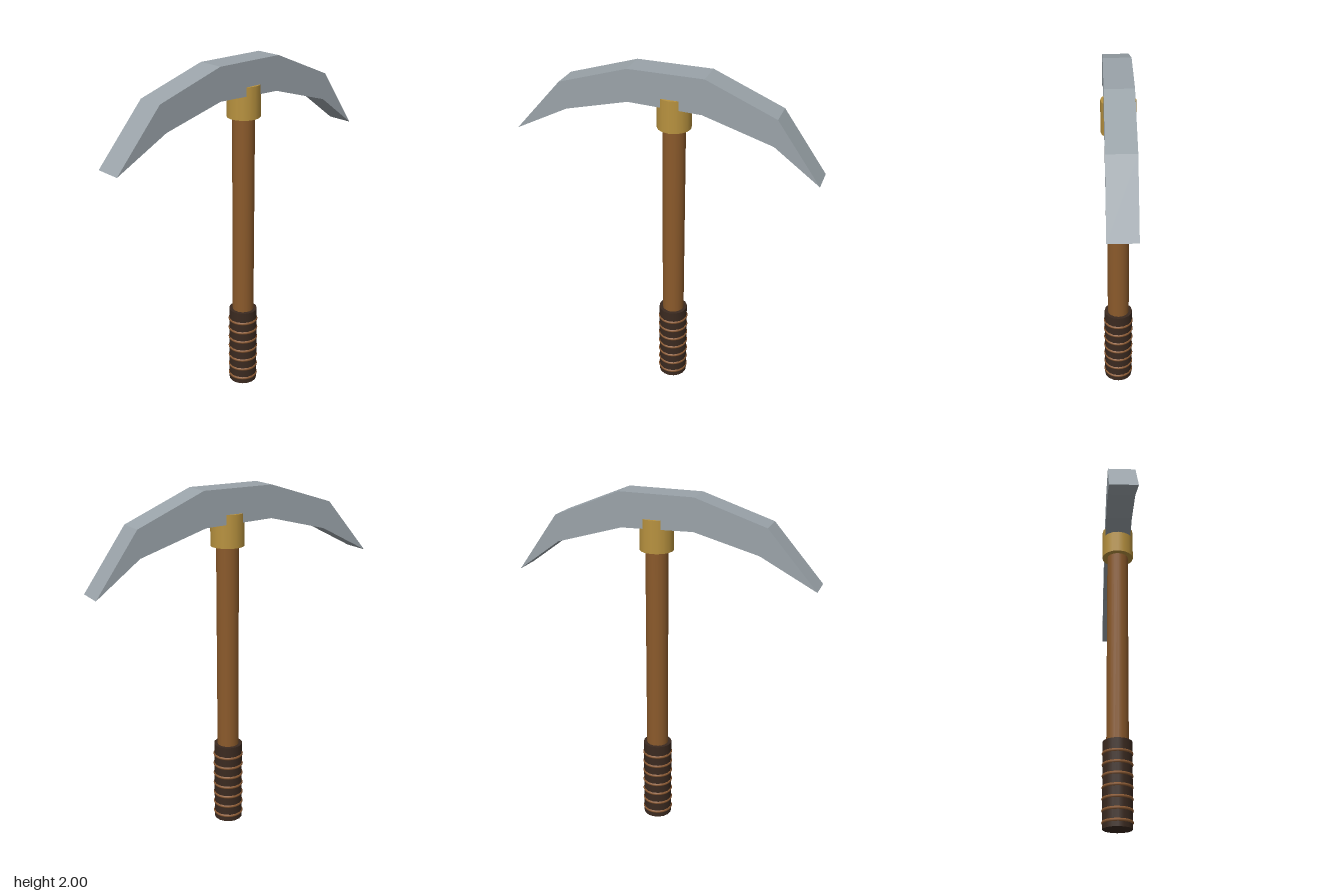
import * as THREE from 'three';

const AXIS_X = 0.044; // the handle sits slightly off the centre of the head

const paint = (color, flatShading = false) => new THREE.MeshStandardMaterial({ color, flatShading });

export function createModel() {
  const group = new THREE.Group();
  const wood = paint(0x8b5a2b);
  const leather = paint(0x3b2a20);
  const strap = paint(0x8b5a33);
  const brass = paint(0xb8923f);
  const steel = paint(0x9aa3a9, true);

  const add = (name, geometry, material, y = 0, x = AXIS_X) => {
    const mesh = new THREE.Mesh(geometry, material);
    mesh.name = name;
    mesh.position.set(x, y, 0);
    group.add(mesh);
    return mesh;
  };

  // Upright cylinder between two heights
  const rod = (name, radius, y0, y1, material) =>
    add(name, new THREE.CylinderGeometry(radius, radius, y1 - y0, 16), material, (y0 + y1) / 2);

  rod('handle', 0.063, 0.02, 1.8, wood);
  rod('grip', 0.083, 0, 0.49, leather);
  rod('collar', 0.094, 1.68, 1.862, brass);

  // Wrapped rings along the grip
  for (let i = 0; i < 7; i++) {
    const ring = new THREE.TorusGeometry(0.078, 0.01, 8, 24).rotateX(Math.PI / 2);
    add('gripRing', ring, strap, 0.036 + i * 0.064);
  }

  // Curved head with two pointed ends, cut from a flat outline
  const outline = [
    [-0.86, 1.565], [-0.55, 1.725], [-0.19, 1.818], [0.22, 1.805], [0.605, 1.69],
    [0.857, 1.505], [0.615, 1.84], [0.23, 2], [-0.19, 2], [-0.585, 1.875],
  ].map(([x, y]) => new THREE.Vector2(x, y));
  const head = new THREE.ExtrudeGeometry(new THREE.Shape(outline), { depth: 0.154, bevelEnabled: false });
  add('head', head.translate(0, 0, -0.077), steel, 0, 0);

  return group;
}
